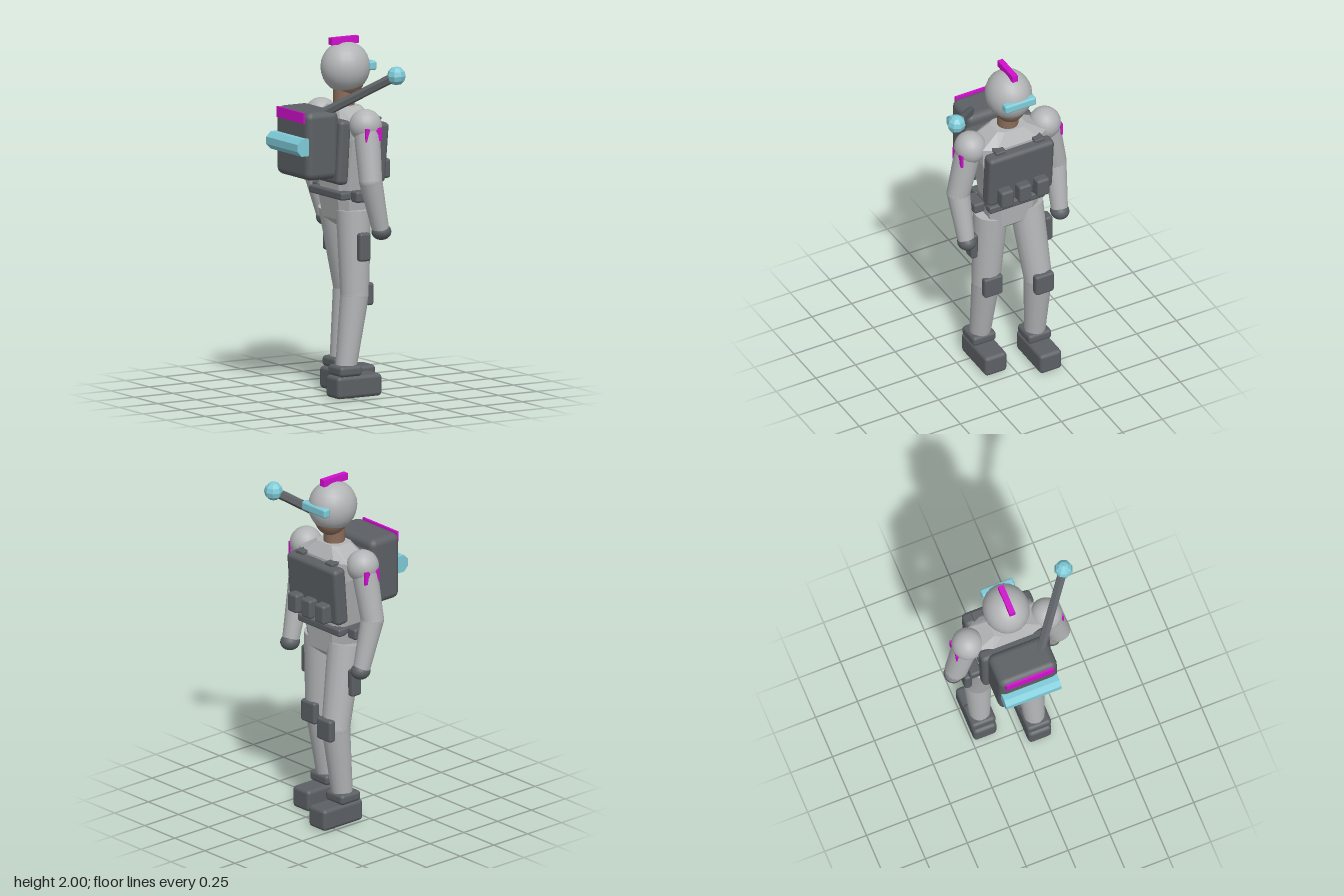
import * as THREE from 'three';
import { RoundedBoxGeometry } from 'three/addons/geometries/RoundedBoxGeometry.js';

export function createModel() {
  const material = (name, color) => {
    const m = new THREE.MeshStandardMaterial({ color });
    m.name = name;
    return m;
  };
  const suit = material('suit grey', 0xb2b4b5);
  const gear = material('gear dark grey', 0x5c6064);
  const skin = material('skin brown', 0x8a6c5a);
  const glow = material('light cyan', 0x7fcbd8);
  const mark = material('marking magenta', 0xd010cc);

  // The figure faces +x; it is built about its own mid plane and then shifted.
  const model = new THREE.Group();
  const body = new THREE.Group();
  body.name = 'spaceSuitFigure';
  body.position.z = -0.033;
  model.add(body);

  const add = (name, geometry, mat, x = 0, y = 0, z = 0) => {
    const mesh = new THREE.Mesh(geometry, mat);
    mesh.name = name;
    mesh.position.set(x, y, z);
    body.add(mesh);
    return mesh;
  };
  // Box given by its centre and size, with small rounded edges
  const box = (name, mat, [x, y, z], [w, h, d], bevel = 0.015) =>
    add(name, bevel ? new RoundedBoxGeometry(w, h, d, 2, bevel) : new THREE.BoxGeometry(w, h, d), mat, x, y, z);
  const ball = (name, mat, [x, y, z], [rx, ry, rz]) => {
    const m = add(name, new THREE.SphereGeometry(1, 20, 14), mat, x, y, z);
    m.scale.set(rx, ry, rz);
    return m;
  };
  // Tapered limb between two points
  const limb = (name, mat, a, b, ra, rb, sides = 16) => {
    const p = new THREE.Vector3(...a), q = new THREE.Vector3(...b);
    const dir = q.clone().sub(p);
    const m = add(name, new THREE.CylinderGeometry(rb, ra, dir.length(), sides), mat);
    m.position.copy(p).add(q).multiplyScalar(0.5);
    m.quaternion.setFromUnitVectors(new THREE.Vector3(0, 1, 0), dir.normalize());
    return m;
  };
  // Faceted solid from octagonal sections: [y, centreX, halfX, halfZ]
  const loft = (name, mat, sections) => {
    const pts = [], idx = [], n = 8;
    for (const [y, cx, hx, hz] of sections)
      for (const [u, v] of [[1, -0.65], [0.65, -1], [-0.65, -1], [-1, -0.65], [-1, 0.65], [-0.65, 1], [0.65, 1], [1, 0.65]])
        pts.push(cx + u * hx, y, v * hz);
    for (let s = 0; s < sections.length - 1; s++)
      for (let i = 0; i < n; i++) {
        const a = s * n + i, b = s * n + (i + 1) % n;
        idx.push(a, b, a + n, b, b + n, a + n);
      }
    const top = (sections.length - 1) * n;
    for (let i = 1; i < n - 1; i++) idx.push(0, i + 1, i, top, top + i, top + i + 1);
    // The corners run clockwise seen from above, so every triangle is turned over
    for (let i = 0; i < idx.length; i += 3) [idx[i + 1], idx[i + 2]] = [idx[i + 2], idx[i + 1]];
    let g = new THREE.BufferGeometry();
    g.setAttribute('position', new THREE.Float32BufferAttribute(pts, 3));
    g.setIndex(idx);
    // Make the winding face outwards whatever the section order
    const p = g.attributes.position, A = new THREE.Vector3(), B = new THREE.Vector3(), C = new THREE.Vector3();
    let volume = 0;
    for (let i = 0; i < idx.length; i += 3) {
      A.fromBufferAttribute(p, idx[i]); B.fromBufferAttribute(p, idx[i + 1]); C.fromBufferAttribute(p, idx[i + 2]);
      volume += A.dot(B.cross(C));
    }
    if (volume < 0) g.setIndex(idx.reverse());
    g = g.toNonIndexed();
    g.computeVertexNormals();
    return add(name, g, mat);
  };

  // Torso and pelvis
  loft('torso', suit, [
    [1.1, 0.075, 0.095, 0.14], [1.25, 0.075, 0.1, 0.165], [1.45, 0.08, 0.11, 0.2],
    [1.55, 0.08, 0.11, 0.2], [1.62, 0.075, 0.07, 0.09],
  ]);
  loft('pelvis', suit, [
    [0.95, 0.08, 0.05, 0.03], [0.99, 0.08, 0.09, 0.14], [1.13, 0.075, 0.105, 0.16],
  ]);

  // Head
  limb('neck', skin, [0.072, 1.56, 0], [0.072, 1.72, 0], 0.06, 0.06);
  ball('face', skin, [0.095, 1.78, 0], [0.1, 0.122, 0.095]);
  ball('helmet', suit, [0.083, 1.83, 0], [0.142, 0.143, 0.13]);
  box('visor', glow, [0.207, 1.838, 0], [0.046, 0.052, 0.195], 0.012);
  box('helmetCrest', mark, [0.073, 1.98, 0], [0.175, 0.04, 0.033], 0);

  // Chest and back armour
  box('chestPlate', gear, [0.195, 1.368, 0], [0.085, 0.335, 0.41], 0.025).rotation.z = -0.08;
  box('backPlate', gear, [-0.045, 1.385, 0], [0.075, 0.36, 0.41], 0.025).rotation.z = -0.06;
  for (const z of [-0.112, 0, 0.112])
    box('chestPouch', gear, [0.25, 1.265, z], [0.075, 0.11, 0.08]);

  // Belt
  box('beltFront', gear, [0.16, 1.14, 0], [0.06, 0.045, 0.35], 0.012);
  box('beltBack', gear, [-0.015, 1.135, 0], [0.07, 0.045, 0.35], 0.012);
  box('beltBand', gear, [0.075, 1.14, 0], [0.18, 0.04, 0.33], 0.012);

  // Backpack with bedroll, marking and antenna
  box('backpack', gear, [-0.162, 1.43, 0], [0.21, 0.385, 0.35], 0.04);
  box('backpackMarking', mark, [-0.271, 1.59, 0], [0.012, 0.06, 0.285], 0);
  const roll = new THREE.CylinderGeometry(0.053, 0.053, 0.33, 8).toNonIndexed();
  roll.rotateX(Math.PI / 2);
  roll.rotateZ(Math.PI / 8);
  roll.computeVertexNormals();
  add('backpackRoll', roll, glow, -0.28, 1.43, 0);
  const rod = limb('antennaRod', gear, [-0.15, 1.595, 0.107], [0.18, 1.825, 0.383], 0.027, 0.027, 6);
  rod.geometry = rod.geometry.toNonIndexed();
  rod.geometry.computeVertexNormals();
  const tip = new THREE.SphereGeometry(0.053, 8, 6).toNonIndexed();
  tip.computeVertexNormals();
  add('antennaTip', tip, glow, 0.18, 1.825, 0.383);

  // Mirrored limbs; the right leg (-z is drawn with side -1) steps forward
  for (const side of [1, -1]) {
    const shoulder = [0.07, 1.535, side * 0.235];
    const elbow = [0.06, 1.235, side * 0.305];
    const wrist = [0.13, 0.96, side * 0.295];
    ball('shoulder', suit, shoulder, [0.092, 0.092, 0.09]);
    limb('upperArm', suit, [0.07, 1.53, side * 0.245], elbow, 0.075, 0.065);
    ball('elbow', suit, elbow, [0.065, 0.065, 0.065]);
    limb('forearm', suit, elbow, wrist, 0.065, 0.048);
    ball('hand', gear, [0.137, 0.943, side * 0.293], [0.057, 0.047, 0.053]);
    box('shoulderPatch', mark, [0.073, 1.493, side * 0.314], [0.105, 0.075, 0.012], 0);
    box('shoulderStrap', gear, [0.08, 1.55, side * 0.122], [0.29, 0.02, 0.063], 0.006);
    box('hipPouch', gear, [0.07, 1.135, side * 0.205], [0.12, 0.065, 0.07]);

    const step = side > 0 ? 0 : 1;
    const hip = [0.07 + step * 0.015, 1.045, side * 0.107];
    const knee = [0.062 + step * 0.115, 0.575, side * 0.132];
    const ankle = [0.0 + step * 0.132, 0.15, side * 0.137];
    limb('thigh', suit, hip, knee, 0.098, 0.08);
    ball('knee', suit, knee, [0.08, 0.08, 0.08]);
    limb('shin', suit, knee, ankle, 0.08, 0.058);
    box('kneePad', gear, [knee[0] + 0.071, 0.577, side * 0.13], [0.047, 0.128, 0.117]);
    box('thighPouch', gear, [0.067 + step * 0.05, 0.852, side * 0.222], [0.073, 0.16, 0.045]);
    box('bootCuff', gear, [ankle[0] - 0.003, 0.157, side * 0.139], [0.145, 0.06, 0.145], 0.02);
    box('boot', gear, [0.055 + step * 0.127, 0.067, side * 0.138], [0.29, 0.125, 0.138], 0.022);
  }

  // Stand on the ground and centre
  const bounds = new THREE.Box3().setFromObject(model, true);
  body.position.y -= bounds.min.y;
  return model;
}
